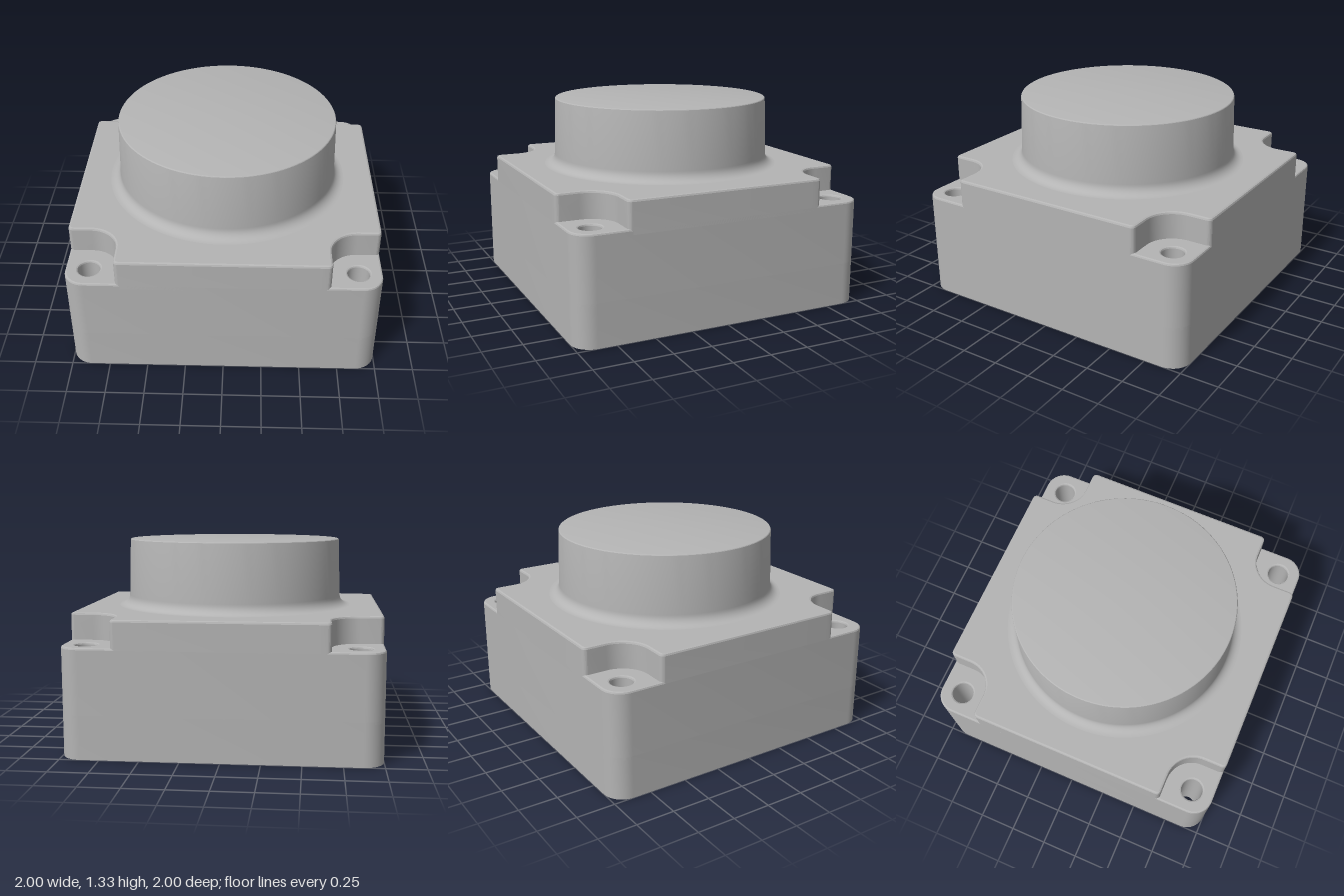
import * as THREE from 'three';
import { toCreasedNormals } from 'three/addons/utils/BufferGeometryUtils.js';

const metal = new THREE.MeshStandardMaterial({ color: 0xb4b4b4 });
metal.name = 'plain grey';

const CREASE = 0.25;
const FLOOR = 0.70, DECK = 0.875, TOP = 1.33; // heights of corner pockets, deck and boss
const GROOVE = 0.25;                          // depth of the underside groove
const BOLT = 0.85;                            // bolt hole offset from the centre

// points along an arc, in degrees
function arc(cx, cy, r, from, to, n = 10) {
  return Array.from({ length: n + 1 }, (_, i) => {
    const a = THREE.MathUtils.degToRad(from + (to - from) * i / n);
    return new THREE.Vector2(cx + r * Math.cos(a), cy + r * Math.sin(a));
  });
}

// repeats one corner's points four times around the centre
function fourCorners(corner) {
  const origin = new THREE.Vector2();
  return [0, 1, 2, 3].flatMap(k => corner.map(p => p.clone().rotateAround(origin, k * Math.PI / 2)));
}

// square of half size h with 45 degree corner cuts and softened bends
function cutSquare(h, c) {
  const t = 0.07, d = t * Math.SQRT1_2;
  const bend = (a, b, e) => new THREE.QuadraticBezierCurve(
    new THREE.Vector2(...a), new THREE.Vector2(...b), new THREE.Vector2(...e)).getPoints(8);
  return fourCorners([
    ...bend([h, c - t], [h, c], [h - d, c + d]),
    ...bend([c + d, h - d], [c, h], [c - t, h]),
  ]);
}

// extrudes an outline upward between two heights
function slab(points, y0, y1, bevel = 0, holes = []) {
  const shape = new THREE.Shape(points);
  shape.holes = holes.map(h => new THREE.Path(h));
  const geometry = new THREE.ExtrudeGeometry(shape, {
    depth: y1 - y0 - 2 * bevel, bevelEnabled: bevel > 0, bevelSize: bevel,
    bevelThickness: bevel, bevelOffset: -bevel, bevelSegments: 2,
  });
  geometry.translate(0, 0, y0 + bevel);
  geometry.rotateX(-Math.PI / 2);
  return toCreasedNormals(geometry, CREASE);
}

export function createModel() {
  const group = new THREE.Group();
  group.name = 'housing';
  const add = (name, geometry) => {
    const mesh = new THREE.Mesh(geometry, metal);
    mesh.name = name;
    group.add(mesh);
  };

  const outline = fourCorners(arc(0.87, 0.87, 0.13, 0, 90, 12));
  const boltHoles = [[1, 1], [-1, 1], [-1, -1], [1, -1]].map(
    ([sx, sy]) => arc(sx * BOLT, sy * BOLT, 0.07, 360, 0, 32).slice(0, -1));

  // lower rim around the seal groove, and the flush panel inside it
  add('bottomRim', slab(outline, 0, GROOVE + 0.03, 0, [...boltHoles, cutSquare(0.9, 0.64).reverse()]));
  add('bottomPanel', slab(cutSquare(0.79, 0.596), 0, GROOVE + 0.02));

  // solid body up to the floor of the corner pockets
  add('body', slab(outline, GROOVE, FLOOR, 0.012, boltHoles));

  // deck with a rounded pocket cut from each corner
  const deck = fourCorners([
    ...arc(0.64, 0.64, 0, 0, 0, 0).map(() => new THREE.Vector2(1, 0.6)),
    ...arc(0.97, 0.64, 0.03, 0, 90, 6),
    ...arc(BOLT, BOLT, 0.18, 270, 180, 14),
    ...arc(0.64, 0.97, 0.03, 0, 90, 6),
  ]);
  add('deck', slab(deck, FLOOR - 0.05, DECK, 0.014));

  // round boss with a flared foot and softened top edge
  const profile = [
    ...arc(0.805, DECK + 0.07, 0.07, 270, 180, 8),
    ...arc(0.714, TOP - 0.01, 0.01, 0, 90, 4),
    new THREE.Vector2(0, TOP),
  ];
  add('boss', toCreasedNormals(new THREE.LatheGeometry(profile, 96), CREASE));

  return group;
}
